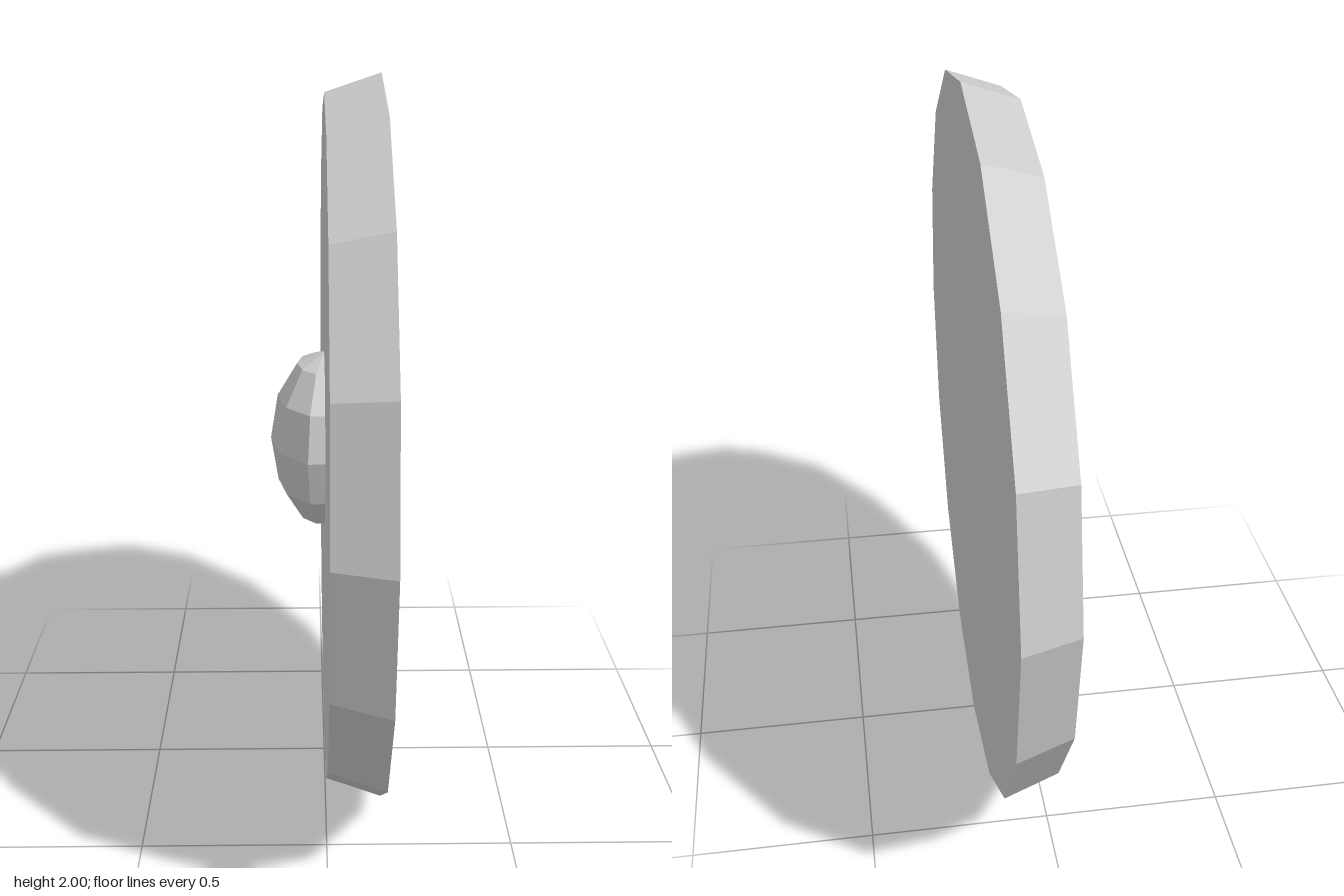
import * as THREE from 'three';

export function createModel() {
  const model = new THREE.Group();
  const material = new THREE.MeshStandardMaterial({ color: 0xcccccc, flatShading: true });

  // Round plate standing on edge, slightly wider on its +x face
  const plate = new THREE.Mesh(
    new THREE.CylinderGeometry(1, 0.95, 0.15, 16).rotateZ(-Math.PI / 2),
    material
  );
  plate.name = 'plate';
  plate.position.set(0.075, 1, 0);
  model.add(plate);

  // Flattened low-poly knob set into the centre of the -x face
  const knob = new THREE.Mesh(
    new THREE.SphereGeometry(0.25, 10, 6).scale(0.6, 1, 1),
    material
  );
  knob.name = 'knob';
  knob.position.set(0, 1, 0);
  model.add(knob);

  return model;
}
